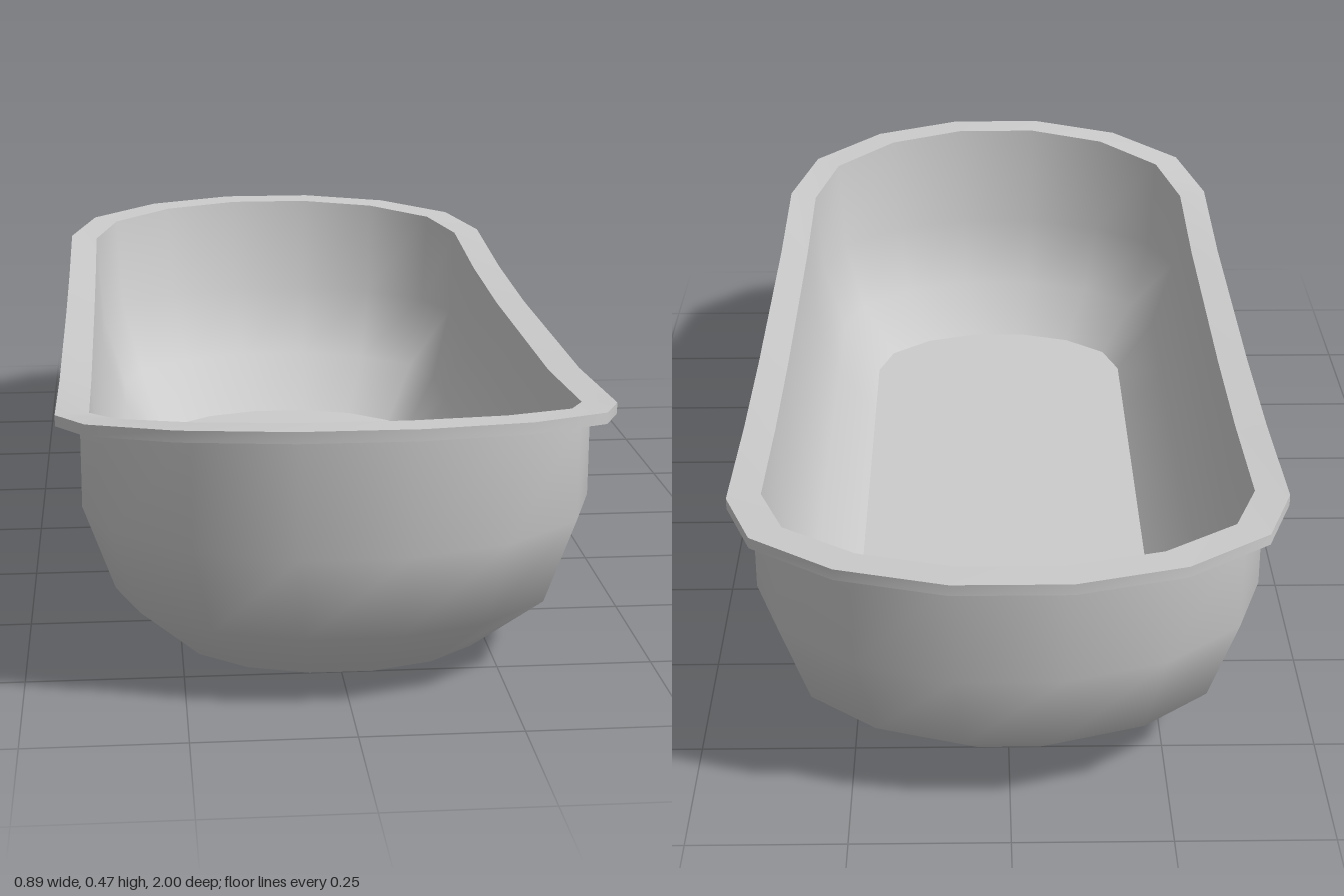
import * as THREE from 'three';

// Half outline of the tub on the +x side, front to back:
// [fraction of half width, corner inset from the end (null = straight side), z on the straight side]
const CORNER = [[0.205, 0], [0.59, 0.055], [0.89, 0.165], [1, 0.31]];
const SIDE_Z = [0.4, 0.14, -0.12, -0.4];
const RIM_WIDTH = 0.443;

// Height of the rim along the length: low in the middle, rising to both ends
const SWEEP = [[-1, 0.46], [-0.69, 0.433], [-0.4, 0.41], [-0.12, 0.4], [0.4, 0.4], [0.69, 0.418], [1, 0.472]];
function rise(z) {
  for (let i = 1; i < SWEEP.length; i++) {
    const [z0, y0] = SWEEP[i - 1], [z1, y1] = SWEEP[i];
    if (z <= z1) return y0 + (y1 - y0) * (z - z0) / (z1 - z0) - 0.4;
  }
  return SWEEP[SWEEP.length - 1][1] - 0.4;
}

// Closed ring of points: half width, front and back ends, height, share of the rim's rise
function ring(hx, front, back, y, follow = 0) {
  const k = hx / RIM_WIDTH;
  const half = (f, b) => [
    ...CORNER.map(([x, inset]) => [x * hx, f - inset * k]),
    ...SIDE_Z.map(z => [hx, z * Math.min(1, (z > 0 ? f : b) / 0.8)]),
    ...CORNER.slice().reverse().map(([x, inset]) => [x * hx, -b + inset * k]),
  ];
  const right = half(front, back);
  // rise is sampled on the rim's own outline so all rings stay parallel
  const zs = [...CORNER.map(c => 1 - c[1]), ...SIDE_Z, ...CORNER.slice().reverse().map(c => c[1] - 1)];
  const pts = right.map(([x, z], i) => [x, y + follow * rise(zs[i]), z]);
  return [...pts, ...pts.slice().reverse().map(([x, py, z]) => [-x, py, z])];
}

// Flat ring collapsed to the middle, used to close floors
const centre = (y, z, n) => Array.from({ length: n }, () => [0, y, z]);

// Smooth skin through a list of rings
function loft(name, rings, material) {
  const n = rings[0].length, index = [];
  for (let r = 0; r < rings.length - 1; r++) {
    for (let i = 0; i < n; i++) {
      const j = (i + 1) % n;
      const a = r * n + i, b = r * n + j, c = b + n, d = a + n;
      index.push(a, b, c, a, c, d);
    }
  }
  const g = new THREE.BufferGeometry();
  g.setAttribute('position', new THREE.Float32BufferAttribute(rings.flat(2), 3));
  g.setIndex(index);
  g.computeVertexNormals();
  const mesh = new THREE.Mesh(g, material);
  mesh.name = name;
  return mesh;
}

export function createModel() {
  const group = new THREE.Group();
  group.name = 'bathtub';
  const mat = new THREE.MeshStandardMaterial({ color: 0xcccccc, side: THREE.DoubleSide });

  // Key rings, from the foot up over the rim and down inside
  const foot = ring(0.25, 0.75, 0.75, 0);
  const recess = ring(0.25, 0.75, 0.75, 0.04);
  const wallTop = ring(0.405, 0.95, 0.95, 0.378, 1);
  const lipInner = ring(0.43, 0.985, 0.985, 0.381, 1);
  const lipBottom = ring(0.443, 1, 1, 0.382, 1);
  const rimOuter = ring(0.443, 1, 1, 0.4, 1);
  const rimInner = ring(0.39, 0.943, 0.943, 0.397, 1);
  const floorEdge = ring(0.26, 0.77, 0.63, 0.046);
  const n = foot.length;

  const parts = {
    underside: [centre(0.04, 0, n), recess],
    footRecess: [recess, foot],
    outerWall: [
      foot,
      ring(0.355, 0.91, 0.91, 0.12),
      ring(0.405, 0.95, 0.95, 0.26),
      wallTop,
    ],
    rimUnderside: [wallTop, ring(0.417, 0.968, 0.968, 0.388, 1), lipInner],
    lipBottom: [lipInner, lipBottom],
    lipEdge: [lipBottom, rimOuter],
    rimTop: [rimOuter, rimInner],
    basinWall: [
      rimInner,
      ring(0.378, 0.925, 0.91, 0.26),
      ring(0.335, 0.87, 0.81, 0.13),
      floorEdge,
    ],
    basinFloor: [floorEdge, centre(0.046, 0.07, n)],
  };
  for (const [name, rings] of Object.entries(parts)) group.add(loft(name, rings, mat));
  return group;
}
